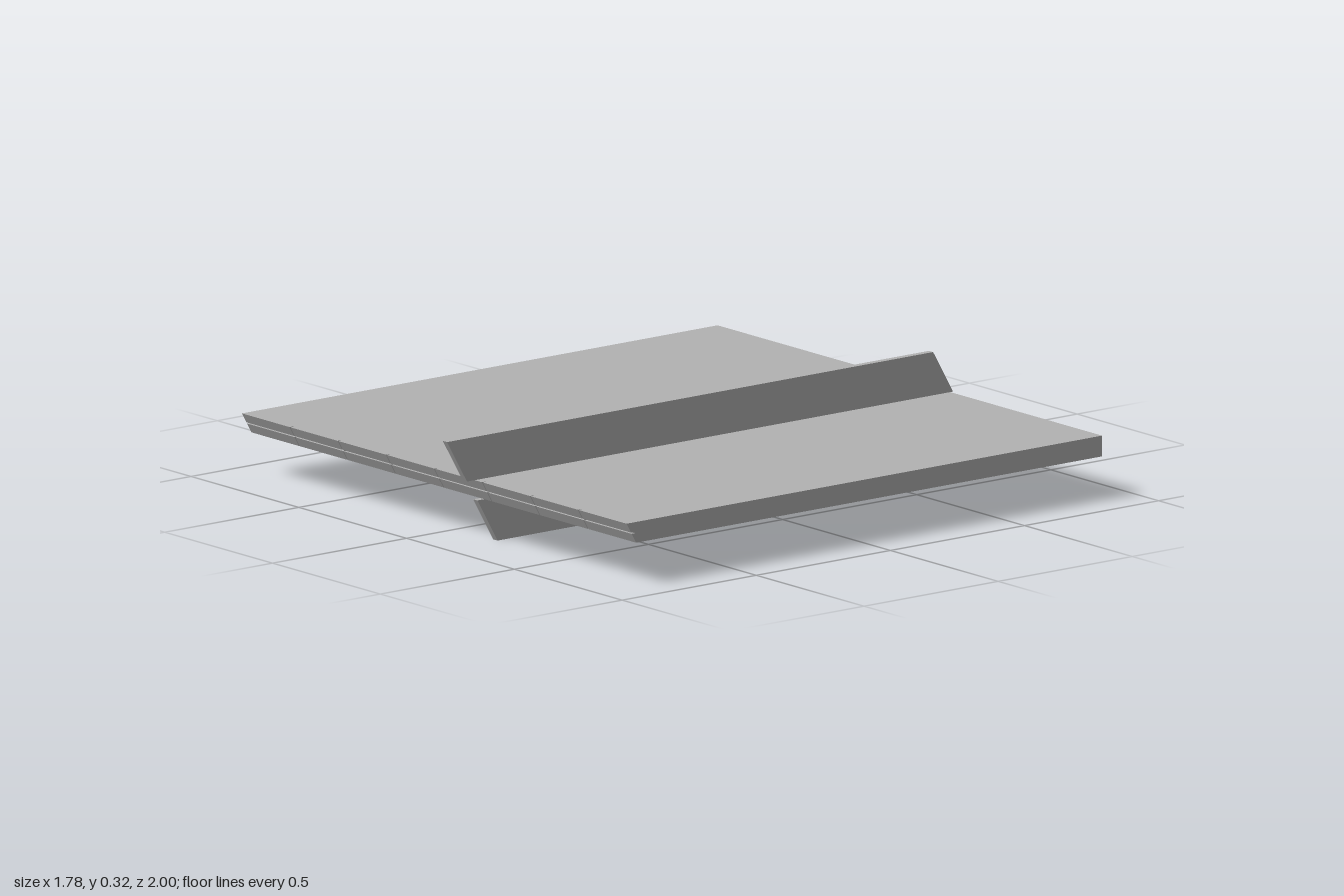
import * as THREE from 'three';

const HALF = 0.892, BOTTOM = 0.131, TOP = 0.193, BACK = -0.876, SLOT_DEPTH = 0.05;
const SLOPE = 0.577; // front and fin ends lean 30 degrees

// Extrudes a side profile of [z, y] points from x0 to x1
function prism(profile, x0, x1) {
  const shape = new THREE.Shape(profile.map(([z, y]) => new THREE.Vector2(z, y)));
  const geo = new THREE.ExtrudeGeometry(shape, { depth: x1 - x0, bevelEnabled: false });
  return geo.rotateY(-Math.PI / 2).translate(x1, 0, 0);
}

// Round-ended slot outline
function slotPath(x0, x1, y, r) {
  const path = new THREE.Path();
  path.moveTo(x0 + r, y - r);
  path.lineTo(x1 - r, y - r);
  path.absarc(x1 - r, y, r, -Math.PI / 2, Math.PI / 2, false);
  path.lineTo(x0 + r, y + r);
  path.absarc(x0 + r, y, r, Math.PI / 2, Math.PI * 1.5, false);
  return path;
}

export function createModel() {
  const group = new THREE.Group();
  const grey = new THREE.MeshStandardMaterial({ color: 0xb2b2b2 });
  grey.name = 'grey';
  const add = (name, geo) => {
    const mesh = new THREE.Mesh(geo, grey);
    mesh.name = name;
    group.add(mesh);
  };
  const frontZ = (y) => 0.897 - (TOP - y) * SLOPE;

  // Main slab, behind the front tiles and ahead of the slotted back strip
  const inset = 0.012, mid = BACK + SLOT_DEPTH;
  add('slab', prism([
    [mid, BOTTOM], [frontZ(BOTTOM) - inset, BOTTOM],
    [frontZ(TOP) - inset, TOP], [mid, TOP],
  ], -HALF, HALF));

  // Two rows of eight leaning tiles with fine grooves between them
  const cols = 8, rows = 2, gap = 0.002;
  const w = 2 * HALF / cols, h = (TOP - BOTTOM) / rows;
  for (let r = 0; r < rows; r++) {
    const y0 = BOTTOM + r * h + (r > 0 ? gap : 0);
    const y1 = BOTTOM + (r + 1) * h - (r < rows - 1 ? gap : 0);
    for (let c = 0; c < cols; c++) {
      const x0 = -HALF + c * w + (c > 0 ? gap : 0);
      const x1 = -HALF + (c + 1) * w - (c < cols - 1 ? gap : 0);
      add('frontTile', prism([
        [frontZ(y0) - inset, y0], [frontZ(y0), y0],
        [frontZ(y1), y1], [frontZ(y1) - inset, y1],
      ], x0, x1));
    }
  }

  // Back strip with one long slot and two short ones
  const strip = new THREE.Shape([
    new THREE.Vector2(-HALF, BOTTOM), new THREE.Vector2(HALF, BOTTOM),
    new THREE.Vector2(HALF, TOP), new THREE.Vector2(-HALF, TOP),
  ]);
  const slotY = (TOP + BOTTOM) / 2;
  for (const [x0, x1] of [[-0.07, 0.76], [-0.215, -0.115], [-0.375, -0.275]]) {
    strip.holes.push(slotPath(x0, x1, slotY, 0.015));
  }
  add('backStrip', new THREE.ExtrudeGeometry(strip, {
    depth: SLOT_DEPTH, bevelEnabled: false, curveSegments: 8,
  }).translate(0, 0, BACK));

  // Leaning fins above and below the slab
  add('upperFin', prism([[-0.886, TOP], [0.926, TOP], [1, 0.322], [-0.812, 0.322]], 0.168, 0.188));
  add('lowerFin', prism([[-1, 0], [0.812, 0], [0.887, BOTTOM], [-0.925, BOTTOM]], 0.168, 0.188));

  return group;
}
